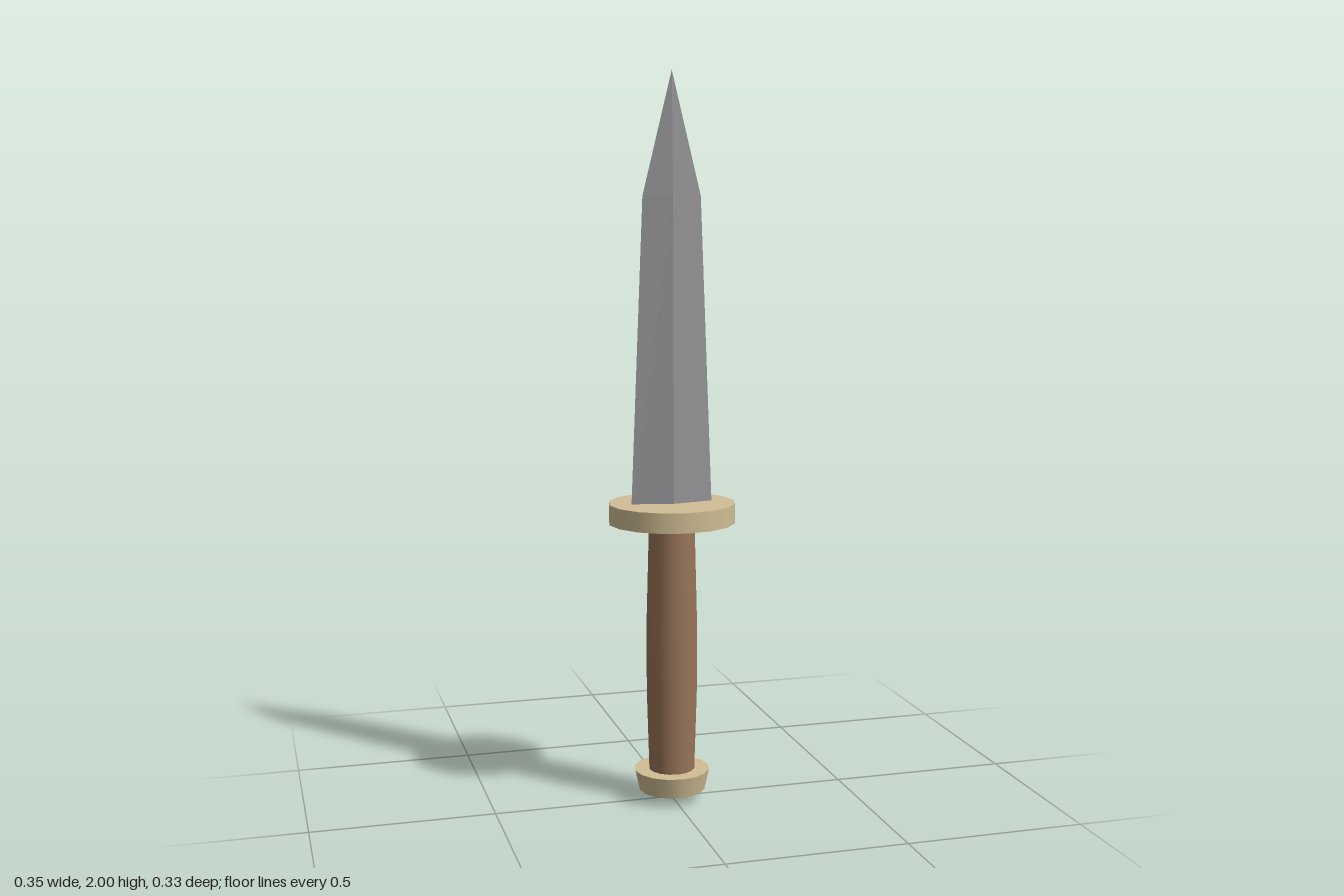
import * as THREE from 'three';

const steel = new THREE.MeshStandardMaterial({ name: 'steel grey', color: 0x98989a });
const brass = new THREE.MeshStandardMaterial({ name: 'pale brass', color: 0xd0be94 });
const leather = new THREE.MeshStandardMaterial({ name: 'brown leather', color: 0x987559 });

const SIDES = 16;

function add(group, name, geometry, material, y = 0) {
  const mesh = new THREE.Mesh(geometry, material);
  mesh.name = name;
  mesh.position.y = y;
  group.add(mesh);
  return mesh;
}

// Four-sided blade: diamond cross-sections joined up to a point
function bladeGeometry() {
  const rings = [[0.83, 0.114, 0.024], [1.67, 0.081, 0.014]]; // y, half width, half thickness
  const corners = rings.map(([y, w, t]) => [[w, y, 0], [0, y, t], [-w, y, 0], [0, y, -t]]);
  const tip = [0, 2, 0];
  const [low, high] = corners;
  const points = [];
  for (let i = 0; i < 4; i++) {
    const j = (i + 1) % 4;
    points.push(low[j], low[i], high[i], low[j], high[i], high[j]);
    points.push(high[j], high[i], tip);
  }
  points.push(low[0], low[1], low[2], low[0], low[2], low[3]);
  const geometry = new THREE.BufferGeometry();
  geometry.setAttribute('position', new THREE.Float32BufferAttribute(points.flat(), 3));
  geometry.computeVertexNormals();
  return geometry;
}

export function createModel() {
  const dagger = new THREE.Group();
  dagger.name = 'dagger';

  add(dagger, 'blade', bladeGeometry(), steel);

  // Slightly oval disc guard
  const guard = add(dagger, 'guard', new THREE.CylinderGeometry(0.175, 0.175, 0.055, SIDES), brass, 0.8125);
  guard.scale.z = 0.95;

  // Grip swells gently in the middle
  const profile = [[0.063, 0.07], [0.07, 0.3], [0.071, 0.48], [0.063, 0.79]]
    .map(([r, y]) => new THREE.Vector2(r, y));
  add(dagger, 'grip', new THREE.LatheGeometry(profile, SIDES), leather);

  // Flared pommel with a shallow conical end
  add(dagger, 'pommel', new THREE.CylinderGeometry(0.105, 0.092, 0.058, SIDES), brass, 0.056);
  add(dagger, 'pommelEnd', new THREE.CylinderGeometry(0.092, 0, 0.027, SIDES, 1, true), brass, 0.0135);

  return dagger;
}
